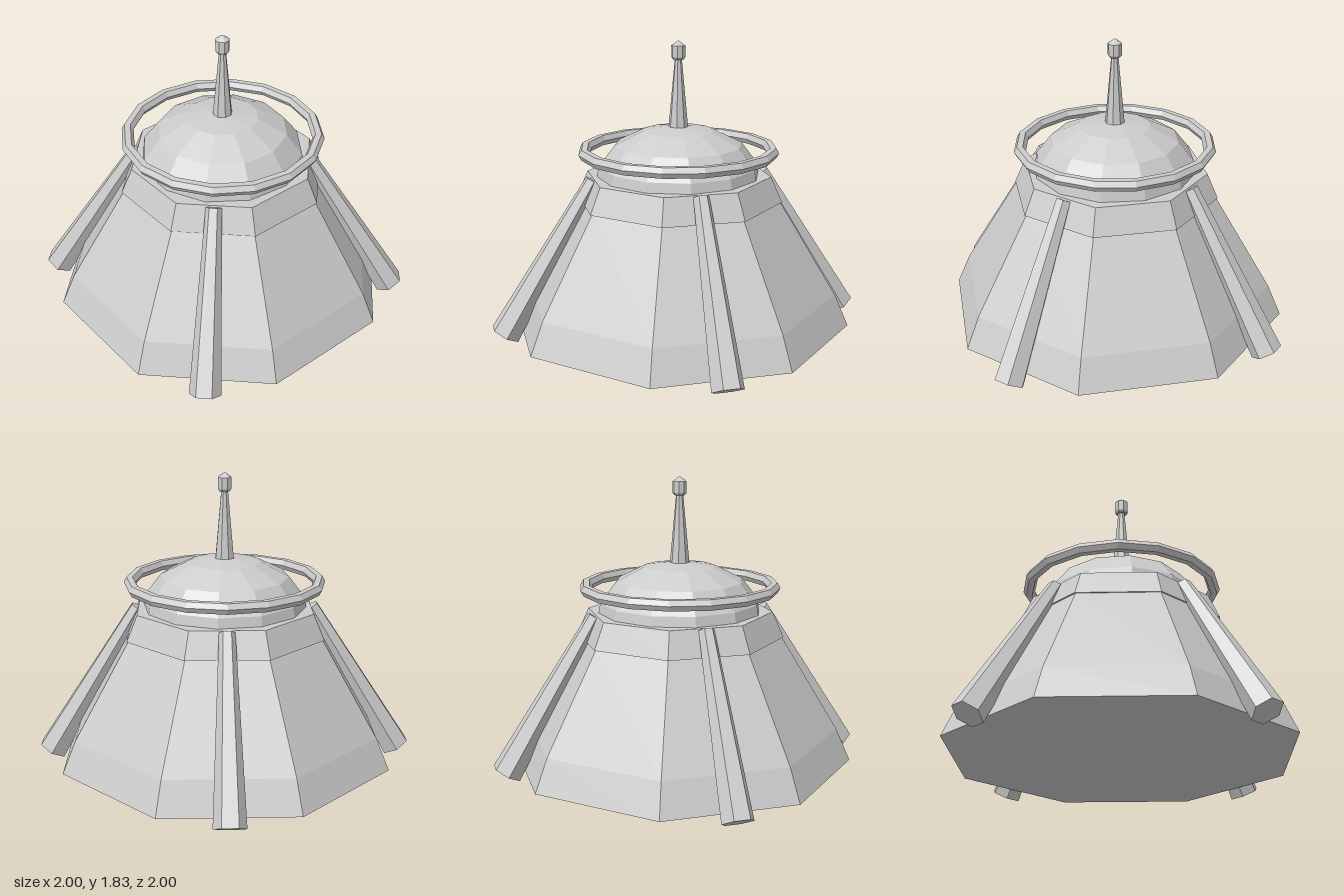
import * as THREE from 'three';

export function createModel() {
  const model = new THREE.Group();
  const grey = new THREE.MeshStandardMaterial({ color: 0xcccccc, flatShading: true });
  grey.name = 'light grey';

  const add = (name, geometry) => {
    const mesh = new THREE.Mesh(geometry, grey);
    mesh.name = name;
    model.add(mesh);
    return mesh;
  };
  // Turned shape from [radius, height] points, listed bottom to top
  const turned = (points, sides, start) => new THREE.LatheGeometry(
    points.map(([r, y]) => new THREE.Vector2(r, y)), sides, start);
  // Octagonal shape with flat faces towards the axes; radii measured to the flats
  const octagon = (points) => turned(
    points.map(([r, y]) => [r / Math.cos(Math.PI / 8), y]), 8, Math.PI / 8);

  // Flared hull with flat underside
  add('hull', octagon([[0, 0.06], [1, 0.06], [0.92, 0.26], [0.585, 0.86], [0, 0.86]]));
  // Collar slightly overhanging the hull
  add('collar', octagon([[0, 0.85], [0.6, 0.85], [0.535, 1.01], [0.51, 1.01], [0, 1.01]]));

  // Faceted dome, turned slightly off axis
  const domePoints = [[0.51, 1]];
  for (let i = 3; i >= 0; i--) {
    const a = (i * Math.PI) / 7;
    domePoints.push([0.51 * Math.sin(a), 1 + 0.32 * Math.cos(a)]);
  }
  add('dome', turned(domePoints, 12, 0.157));

  // Floating ring around the dome
  const ring = add('ring', new THREE.TorusGeometry(0.588, 0.037, 6, 16));
  ring.rotation.x = Math.PI / 2;
  ring.position.y = 1.16;

  // Antenna and its pointed knob
  add('antenna', octagon([[0, 1.28], [0.058, 1.29], [0.055, 1.32], [0.02, 1.73], [0, 1.73]]));
  add('antennaKnob', octagon([[0, 1.725], [0.03, 1.725], [0.04, 1.74], [0.04, 1.81], [0, 1.84]]));

  // Four tapered hexagonal legs on the diagonals
  const foot = new THREE.Vector2(1.11, 0.05);
  const head = new THREE.Vector2(0.54, 1.0);
  const axis = head.clone().sub(foot);
  for (let i = 0; i < 4; i++) {
    const pivot = new THREE.Group();
    pivot.name = 'leg' + (i + 1);
    const strut = new THREE.Mesh(
      new THREE.CylinderGeometry(0.048, 0.096, axis.length(), 6), grey);
    strut.name = 'strut';
    strut.position.set((foot.x + head.x) / 2, (foot.y + head.y) / 2, 0);
    strut.rotation.z = Math.atan2(-axis.x, axis.y);
    pivot.add(strut);
    pivot.rotation.y = Math.PI / 4 + (i * Math.PI) / 2;
    model.add(pivot);
  }
  return model;
}
